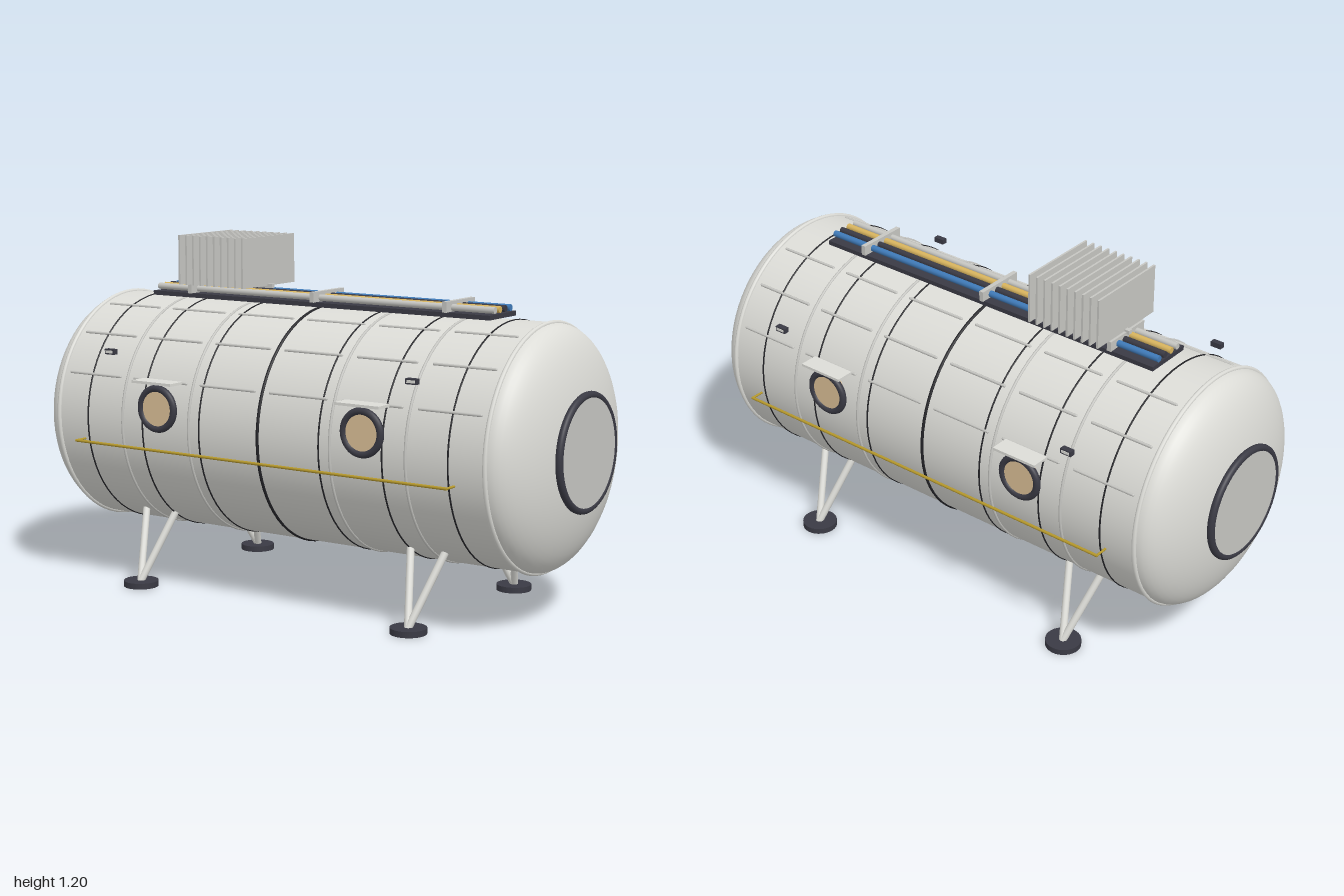
import * as THREE from 'three';

const mat = (name, color, side = THREE.FrontSide) => {
  const m = new THREE.MeshStandardMaterial({ color, side });
  m.name = name;
  return m;
};

export function createModel() {
  const hull = mat('hull grey', 0xdcdcd7);
  const metal = mat('metal grey', 0xc6c6c2);
  const dark = mat('dark trim', 0x3a3a44);
  const seam = mat('seam black', 0x222226);
  const glass = mat('warm glass', 0xdabf96);
  const yellow = mat('rail yellow', 0xb5982c);
  const amber = mat('pipe amber', 0xd8b45e);
  const blue = mat('pipe blue', 0x3f7ab8);

  const model = new THREE.Group();
  const CY = 0.575, R = 0.4, HALF = 0.85;

  const add = (name, geo, material, x = 0, y = 0, z = 0, parent = model) => {
    const m = new THREE.Mesh(geo, material);
    m.name = name;
    m.position.set(x, y, z);
    parent.add(m);
    return m;
  };
  const box = (name, w, h, d, material, x, y, z, parent) =>
    add(name, new THREE.BoxGeometry(w, h, d), material, x, y, z, parent);
  // round bar between two points
  const rod = (name, a, b, r, material, parent) => {
    const from = new THREE.Vector3(...a), to = new THREE.Vector3(...b);
    const dir = to.clone().sub(from);
    const m = add(name, new THREE.CylinderGeometry(r, r, dir.length(), 12), material, 0, 0, 0, parent);
    m.position.copy(from).addScaledVector(dir, 0.5);
    m.quaternion.setFromUnitVectors(new THREE.Vector3(0, 1, 0), dir.normalize());
    return m;
  };
  // hoop around the hull
  const hoop = (name, x, tube, material) => {
    const m = add(name, new THREE.TorusGeometry(R, tube, 8, 72), material, x, CY, 0);
    m.rotation.y = Math.PI / 2;
  };

  // pressure hull
  const body = add('hullCylinder', new THREE.CylinderGeometry(R, R, HALF * 2, 72, 1, true), hull, 0, CY, 0);
  body.rotation.z = Math.PI / 2;

  // domed ends with round hatches
  const domeProfile = [];
  for (let i = 0; i <= 16; i++) {
    const a = (i / 16) * Math.PI / 2;
    domeProfile.push(new THREE.Vector2(Math.max(0, R * Math.cos(a)), 0.145 * Math.sin(a)));
  }
  for (const s of [-1, 1]) {
    const end = new THREE.Group();
    end.name = s > 0 ? 'leftEnd' : 'rightEnd';
    end.position.set(s * HALF, CY, 0);
    end.rotation.z = -s * Math.PI / 2;
    model.add(end);
    add('dome', new THREE.LatheGeometry(domeProfile, 72), hull, 0, 0, 0, end);
    const ring = add('hatchRing', new THREE.TorusGeometry(0.183, 0.0125, 12, 64), dark, 0, 0.1375, 0, end);
    ring.rotation.x = Math.PI / 2;
    add('hatchDoor', new THREE.CylinderGeometry(0.178, 0.178, 0.027, 64), metal, 0, 0.1335, 0, end);
    hoop('endFlange', s * HALF, 0.008, hull);
  }

  // ribs and panel seams
  for (let i = -2; i <= 2; i++) hoop('rib', i * 0.2833, 0.005, metal);
  for (let i = -3; i <= 3; i++) hoop('panelSeam', i * 0.24, i === 0 ? 0.0055 : 0.003, seam);

  // short stiffeners between the ribs
  for (const deg of [22.5, 45, 67.5]) {
    const a = THREE.MathUtils.degToRad(deg);
    for (const s of [-1, 1]) for (let i = 0; i < 6; i++) {
      const bar = add('stiffener', new THREE.CapsuleGeometry(0.005, 0.22, 4, 8), metal,
        (i - 2.5) * 0.2833, CY + R * Math.cos(a), s * R * Math.sin(a));
      bar.rotation.z = Math.PI / 2;
    }
  }

  // both long sides: windows, hoods, lamps, grab rail, legs
  for (const s of [1, -1]) {
    const side = new THREE.Group();
    side.name = s > 0 ? 'frontSide' : 'backSide';
    side.rotation.y = s > 0 ? 0 : Math.PI;
    model.add(side);

    for (const x of [-0.41, 0.41]) {
      add('windowFrame', new THREE.TorusGeometry(0.069, 0.012, 12, 40), dark, x, 0.64, 0.406, side);
      const pane = add('windowPane', new THREE.CylinderGeometry(0.064, 0.064, 0.03, 40), glass, x, 0.64, 0.396, side);
      pane.rotation.x = Math.PI / 2;
      box('windowHood', 0.165, 0.009, 0.065, hull, x, 0.73, 0.4055, side);
    }

    for (const x of [-0.6, 0.6]) {
      box('lampHousing', 0.04, 0.018, 0.02, dark, x, 0.82, 0.414, side);
      box('lampLens', 0.03, 0.009, 0.002, hull, x, 0.82, 0.4245, side);
    }

    rod('grabRail', [-0.742, 0.505, 0.44], [0.742, 0.505, 0.44], 0.005, yellow, side);
    for (const x of [-0.74, 0.74])
      rod('railPost', [x, 0.505, 0.385], [x, 0.505, 0.442], 0.004, yellow, side);

    for (const x of [-0.545, 0.545]) {
      add('footPad', new THREE.CylinderGeometry(0.06, 0.06, 0.02, 32), dark, x, 0.01, 0.34, side);
      for (const d of [-0.065, 0.065])
        rod('legStrut', [x, 0.015, 0.343], [x + d, 0.25, 0.225], 0.0125, hull, side);
    }
  }

  // roof tray carrying four pipes and their clamps
  box('roofTray', 1.36, 0.015, 0.17, dark, 0, 0.987, 0);
  [[-0.05, blue], [-0.017, dark], [0.017, amber], [0.05, metal]].forEach(([z, m]) =>
    rod('roofPipe', [-0.68, 1.008, z], [0.68, 1.008, z], 0.011, m));
  for (const x of [-0.515, 0, 0.515]) box('pipeClamp', 0.016, 0.035, 0.18, metal, x, 1.0115, 0);

  // radiator fins on a narrow beam
  box('radiatorBeam', 0.31, 0.014, 0.016, metal, -0.378, 1.029, 0);
  for (let i = 0; i < 10; i++)
    box('radiatorFin', 0.007, 0.17, 0.3, metal, -0.378 + (i - 4.5) * 0.0298, 1.115, 0);

  return model;
}
